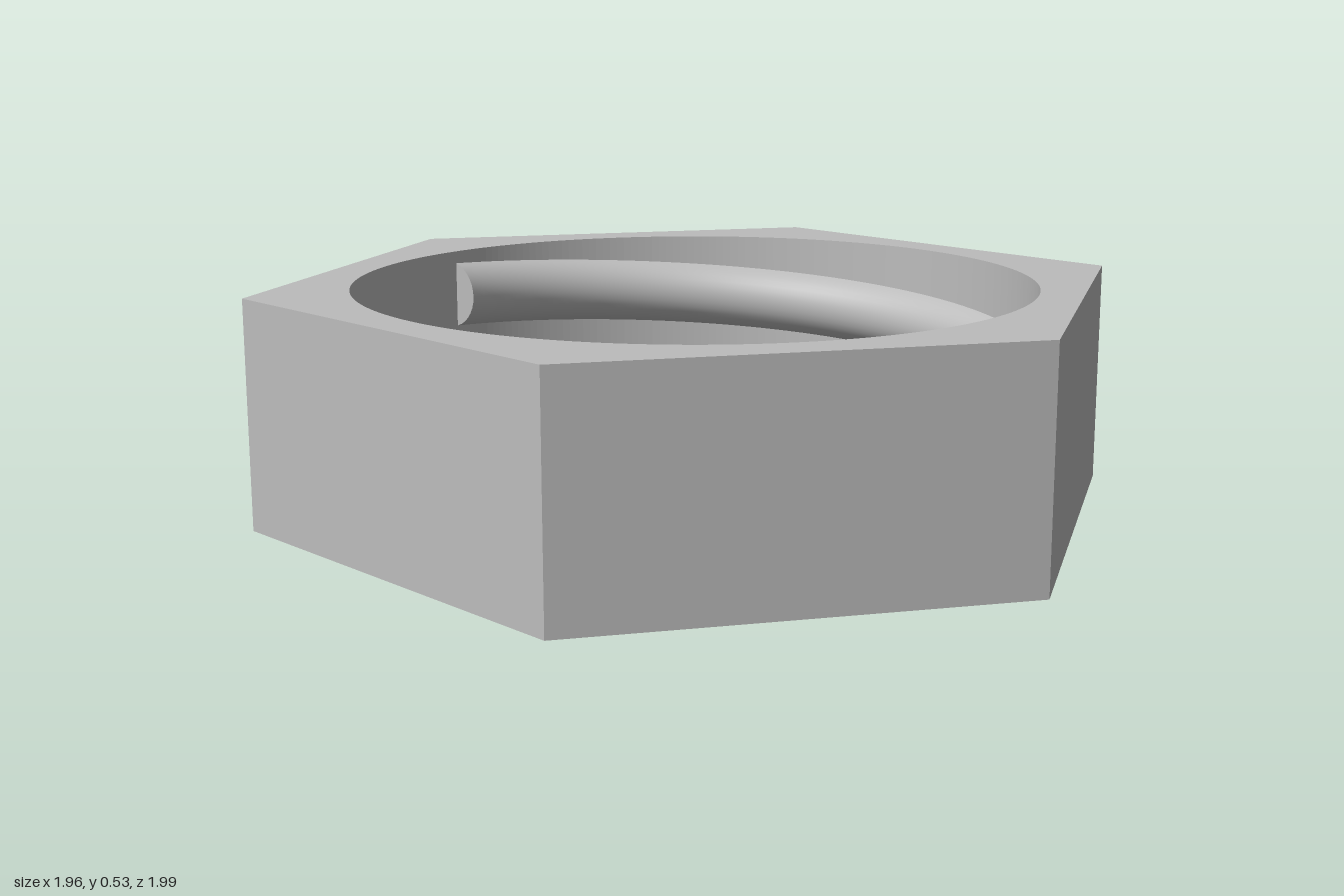
import * as THREE from 'three';
import { ParametricGeometry } from 'three/addons/geometries/ParametricGeometry.js';

const HEIGHT = 0.53;
const BORE = 0.79;
const HEX_RADIUS = 1.025;
const HEX_TURN = THREE.MathUtils.degToRad(16.6);

// Thread: round ridge that winds down the bore and runs out through the bottom
const RIDGE_R = 0.085, RIDGE_CENTRE = 0.815;
const START_ANGLE = THREE.MathUtils.degToRad(189.5);
const START_Y = 0.418, PITCH = 0.31;
const HALF_ARC = Math.acos((RIDGE_CENTRE - BORE) / RIDGE_R);
const TURNS = (START_Y + RIDGE_R * Math.sin(HALF_ARC)) / PITCH;
const TOUCH = (START_Y - RIDGE_R * Math.sin(HALF_ARC)) / PITCH; // ridge meets the bottom here

// Radius and height of the ridge after some turns; v runs from its lower to its upper edge
function ridge(turns, v) {
  const centre = START_Y - PITCH * turns;
  const cut = Math.asin(THREE.MathUtils.clamp(-centre / RIDGE_R, -1, 1));
  const low = Math.min(Math.max(-HALF_ARC, cut), HALF_ARC);
  const a = THREE.MathUtils.lerp(low, HALF_ARC, v);
  return {
    r: Math.min(BORE, RIDGE_CENTRE - RIDGE_R * Math.cos(a)),
    y: Math.max(0, centre + RIDGE_R * Math.sin(a)),
  };
}

function place(target, turns, r, y) {
  const t = START_ANGLE + turns * Math.PI * 2;
  target.set(r * Math.cos(t), y, r * Math.sin(t));
}

function surface(fn, slices, stacks) {
  const geometry = new ParametricGeometry(fn, slices, stacks);
  geometry.computeVertexNormals();
  return geometry;
}

export function createModel() {
  const model = new THREE.Group();
  model.name = 'hexNut';
  const steel = new THREE.MeshStandardMaterial({ color: 0xbcbcbc });
  steel.name = 'steel grey';

  const add = (name, geometry, parent) => {
    const mesh = new THREE.Mesh(geometry, steel);
    mesh.name = name;
    parent.add(mesh);
  };

  // Hexagonal body with a round bore
  const corners = [];
  for (let i = 0; i < 6; i++) {
    const t = HEX_TURN + i * Math.PI / 3;
    corners.push(new THREE.Vector2(HEX_RADIUS * Math.cos(t), -HEX_RADIUS * Math.sin(t)));
  }
  const hexagon = new THREE.Shape(corners);
  hexagon.holes.push(new THREE.Path().absarc(0, 0, BORE, 0, Math.PI * 2, false));
  const body = new THREE.ExtrudeGeometry(hexagon, { depth: HEIGHT, bevelEnabled: false, curveSegments: 128 });
  body.rotateX(-Math.PI / 2);
  add('hexBody', body, model);

  const thread = new THREE.Group();
  thread.name = 'thread';
  model.add(thread);

  // Rounded face of the ridge
  add('threadRidge', surface((u, v, target) => {
    const turns = u * TURNS;
    const p = ridge(turns, v);
    place(target, turns, p.r, p.y);
  }, 200, 14), thread);

  // Flat underside where the ridge is cut level with the bottom
  add('threadRunOut', surface((u, v, target) => {
    const turns = THREE.MathUtils.lerp(TOUCH, TURNS, u);
    place(target, turns, THREE.MathUtils.lerp(BORE, ridge(turns, 0).r, v), 0);
  }, 80, 1), thread);

  // Flat end of the ridge near the top
  add('threadEnd', surface((u, v, target) => {
    const p = ridge(0, v);
    place(target, 0, THREE.MathUtils.lerp(BORE, p.r, u), p.y);
  }, 1, 14), thread);

  return model;
}
